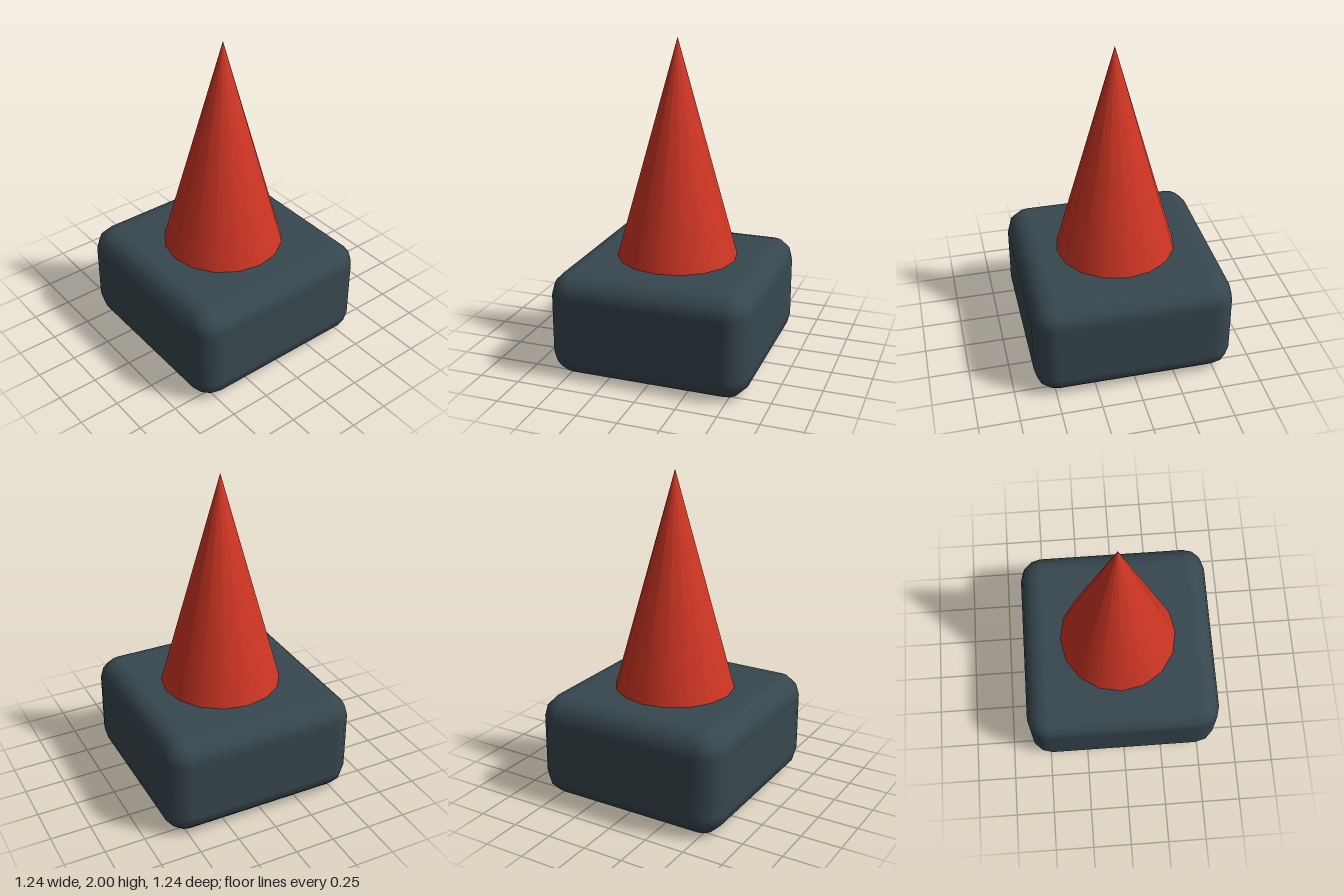
import * as THREE from 'three';

// Box with rounded edges: a sphere grid whose corners are pushed apart.
function roundedBlock(width, height, depth, radius, steps) {
  const perCorner = steps + 1;
  const columns = perCorner * 4;
  const rows = perCorner * 2 + 1; // first and last rows are the face centres
  const geometry = new THREE.SphereGeometry(1, columns, rows);
  const position = geometry.attributes.position;
  const normal = geometry.attributes.normal;
  const step = Math.PI / 2 / steps;

  for (let iy = 0; iy <= rows; iy++) {
    const upper = iy <= perCorner;
    const centre = iy === 0 || iy === rows;
    const band = upper ? Math.max(iy - 1, 0) : Math.min(iy - 2, steps * 2);
    const phi = band * step;
    for (let ix = 0; ix <= columns; ix++) {
      const k = ix % columns;
      const quarter = Math.floor(k / perCorner);
      const theta = quarter * Math.PI / 2 + (k % perCorner) * step;
      const middle = quarter * Math.PI / 2 + Math.PI / 4;
      const nx = -Math.cos(theta) * Math.sin(phi);
      const ny = Math.cos(phi);
      const nz = Math.sin(theta) * Math.sin(phi);
      const cx = -Math.sign(Math.cos(middle)) * (width / 2 - radius);
      const cy = (upper ? 1 : -1) * (height / 2 - radius);
      const cz = Math.sign(Math.sin(middle)) * (depth / 2 - radius);
      const i = iy * (columns + 1) + ix;
      position.setXYZ(i, centre ? 0 : cx + nx * radius, cy + ny * radius, centre ? 0 : cz + nz * radius);
      normal.setXYZ(i, nx, ny, nz);
    }
  }
  return geometry;
}

export function createModel() {
  const model = new THREE.Group();
  const slate = new THREE.MeshStandardMaterial({ color: 0x37474f });
  slate.name = 'slate';
  const red = new THREE.MeshStandardMaterial({ color: 0xd03624 });
  red.name = 'red';

  // Rounded base block
  const baseHeight = 0.65;
  const base = new THREE.Mesh(roundedBlock(1.24, baseHeight, 1.24, 0.14, 3), slate);
  base.name = 'base';
  base.position.y = baseHeight / 2;
  model.add(base);

  // Pointed spike standing on the base
  const spikeHeight = 2 - baseHeight;
  const spike = new THREE.Mesh(new THREE.ConeGeometry(0.372, spikeHeight, 16), red);
  spike.name = 'spike';
  spike.position.y = baseHeight + spikeHeight / 2;
  model.add(spike);

  return model;
}
